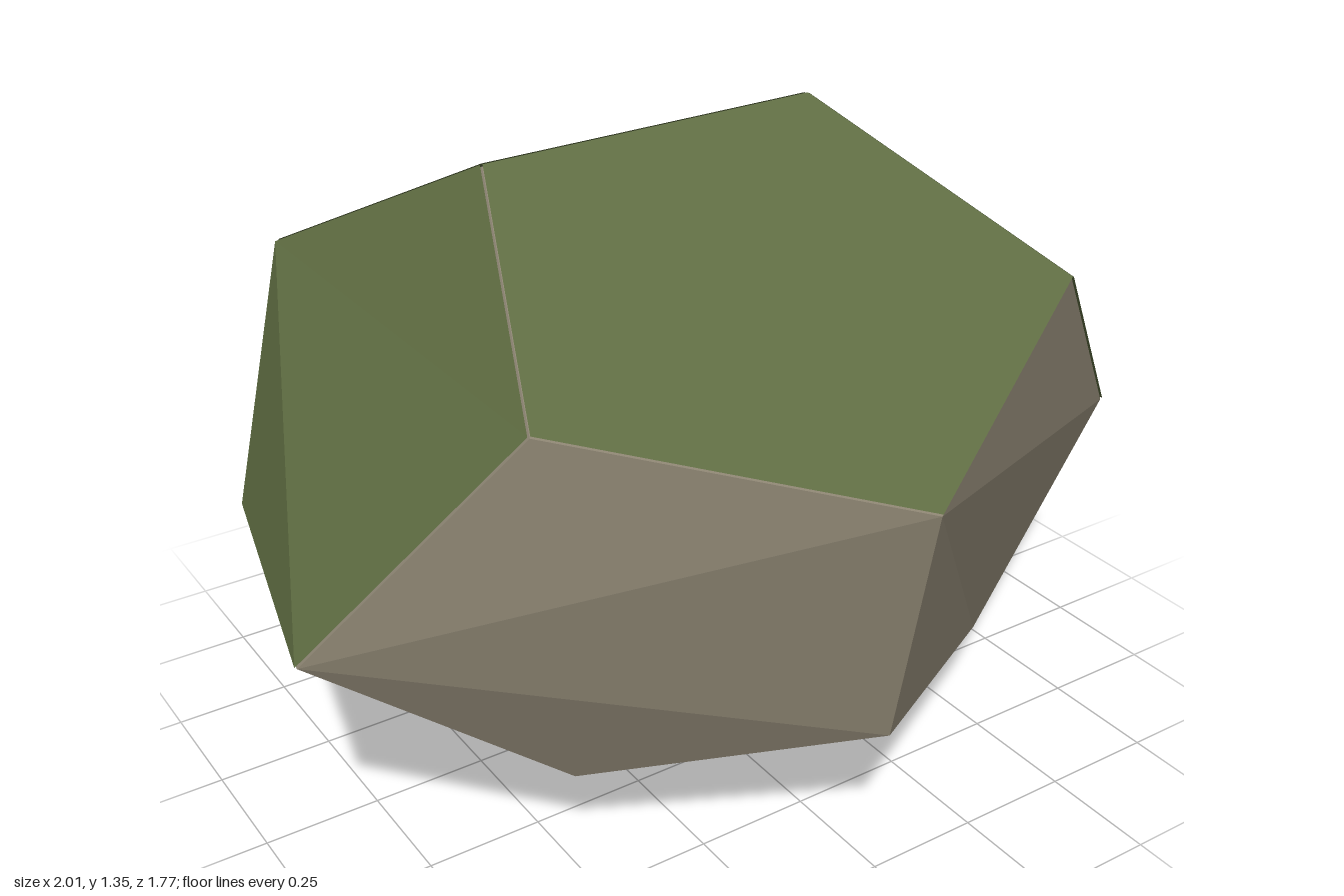
import * as THREE from 'three';

// Corners of an uneven twelve-sided boulder
const corners = [
  [-0.51, 0.23, -0.51], [-0.51, 0.24, 0.43], [-0.62, 1.05, -0.59], [-0.62, 1.05, 0.5],
  [0.52, 0.22, -0.52], [0.52, 0.22, 0.44], [0.62, 1.07, -0.62], [0.62, 1.07, 0.53],
  [-0.01, 0.38, -0.78], [-0.01, 0.35, 0.78], [-0.01, 0.86, -0.88], [-0.01, 0.885, 0.88],
  [-0.32, 0.02, -0.04], [-0.4, 1.335, -0.05], [0.31, 0, -0.04], [0.38, 1.345, -0.05],
  [-0.85, 0.6, -0.33], [0.84, 0.6, -0.34], [-1, 0.6, 0.29], [1, 0.6, 0.3],
].map((p) => new THREE.Vector3(...p));

// Five-sided faces, counter-clockwise from outside
const mossFaces = [
  [3, 11, 7, 15, 13], [7, 19, 17, 6, 15], [6, 10, 2, 13, 15], [2, 16, 18, 3, 13],
];
const stoneFaces = [
  [17, 4, 8, 10, 6], [8, 0, 16, 2, 10], [0, 12, 1, 18, 16], [18, 1, 9, 11, 3],
  [4, 14, 12, 0, 8], [11, 9, 5, 19, 7], [19, 5, 14, 4, 17], [1, 12, 14, 5, 9],
];

// Fan each face into flat triangles, lifted outwards by a small amount
function facetGeometry(faces, lift = 0) {
  const points = [];
  for (const face of faces) {
    const [a, b, c, d, e] = face.map((i) => corners[i]);
    const normal = new THREE.Vector3();
    new THREE.Triangle(a, c, d).getNormal(normal);
    for (const p of [a, b, c, a, c, d, a, d, e]) {
      points.push(p.clone().addScaledVector(normal, lift));
    }
  }
  const geometry = new THREE.BufferGeometry().setFromPoints(points);
  geometry.computeVertexNormals();
  return geometry;
}

export function createModel() {
  const stone = new THREE.MeshStandardMaterial({ color: 0x8b8371, flatShading: true });
  stone.name = 'stone';
  const moss = new THREE.MeshStandardMaterial({ color: 0x5f6d42, flatShading: true, side: THREE.DoubleSide });
  moss.name = 'moss';

  const group = new THREE.Group();
  group.name = 'mossyBoulder';

  // Complete stone body
  const body = new THREE.Mesh(facetGeometry([...stoneFaces, ...mossFaces]), stone);
  body.name = 'boulder';

  // Thin moss sheets over the upper faces
  const cover = new THREE.Mesh(facetGeometry(mossFaces, 0.006), moss);
  cover.name = 'mossCover';

  group.add(body, cover);
  return group;
}
